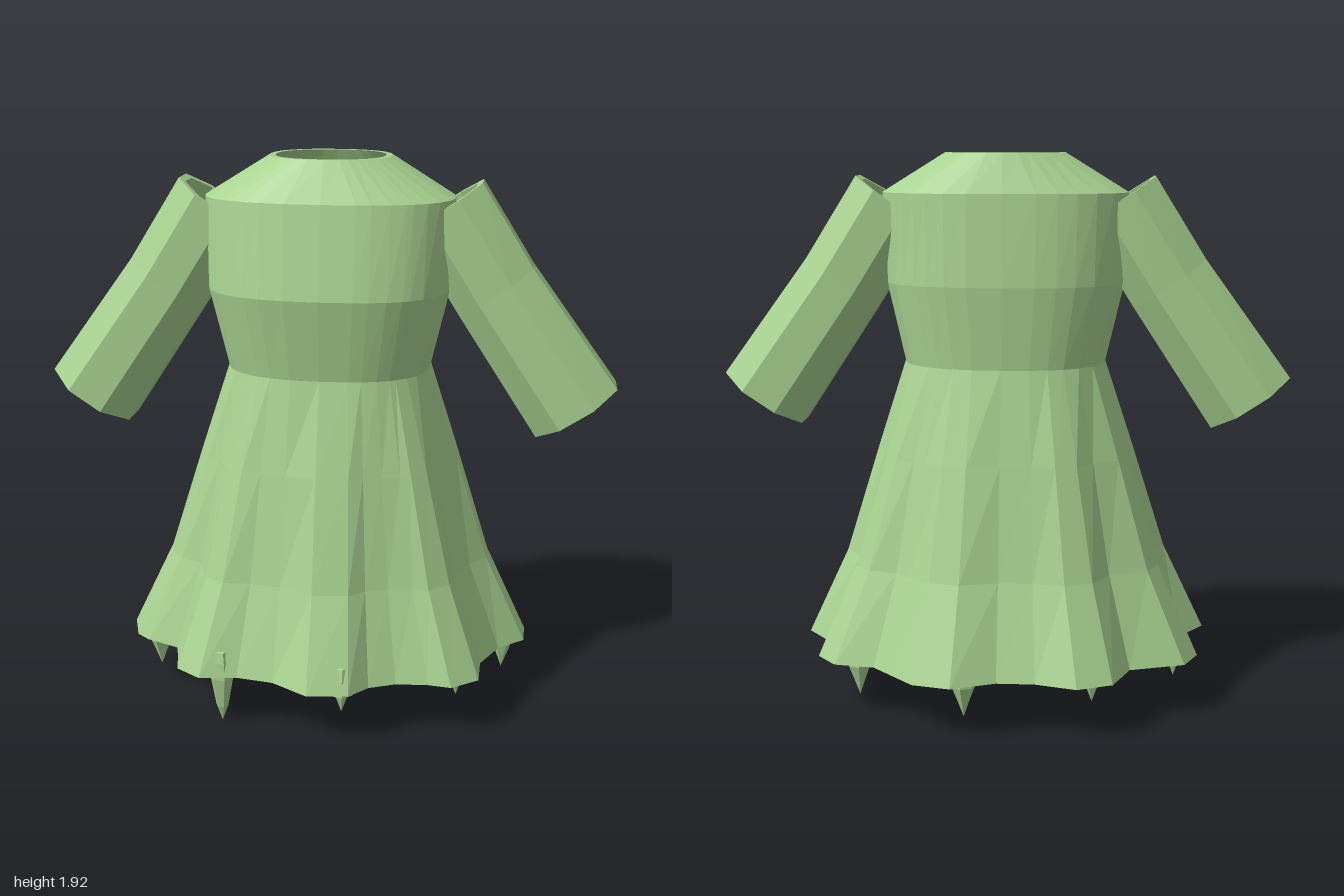
import * as THREE from 'three';

const green = new THREE.MeshStandardMaterial({ color: 0xa9d391 });
green.name = 'leaf green';

// Skin a loop of equal-sized rings into a closed, faceted shell
function loft(rings) {
  const pos = [];
  const n = rings[0].length;
  rings.forEach((ring, k) => {
    const next = rings[(k + 1) % rings.length];
    for (let i = 0; i < n; i++) {
      const j = (i + 1) % n;
      pos.push(...ring[i], ...next[i], ...ring[j], ...ring[j], ...next[i], ...next[j]);
    }
  });
  const geo = new THREE.BufferGeometry();
  geo.setAttribute('position', new THREE.Float32BufferAttribute(pos, 3));
  geo.computeVertexNormals();
  return geo;
}

function addMesh(parent, name, geo) {
  const mesh = new THREE.Mesh(geo, green);
  mesh.name = name;
  parent.add(mesh);
  return mesh;
}

// Wavy hem outline as x, z pairs, running from the front towards +x
const hem = [
  [0, .59], [.14, .57], [.2, .5], [.29, .46], [.4, .45], [.48, .46], [.57, .39], [.57, .26], [.63, .13],
  [.72, .05], [.72, -.06], [.63, -.17], [.64, -.32], [.57, -.4], [.43, -.42], [.37, -.48], [.28, -.57],
  [.15, -.6], [0, -.54], [-.13, -.54], [-.27, -.58], [-.39, -.53], [-.45, -.39], [-.64, -.33],
  [-.69, -.23], [-.66, -.14], [-.64, -.04], [-.73, .08], [-.69, .2], [-.64, .24], [-.52, .29],
  [-.5, .36], [-.48, .45], [-.39, .51], [-.26, .49], [-.13, .51],
];
const angles = hem.map(([x, z]) => Math.atan2(x / .7, z / .58));

// Rounded-oval ring of the bodice
function oval(y, rx, zFront, zBack, power = 2.5) {
  const rz = (zFront + zBack) / 2, cz = (zFront - zBack) / 2;
  const round = v => Math.sign(v) * Math.abs(v) ** (2 / power);
  return angles.map(a => [rx * round(Math.sin(a)), y, cz + rz * round(Math.cos(a))]);
}

// Skirt ring: blend from the waist to the hem
const waist = oval(1.2, .355, .28, .27);
const skirtRing = (y, t) => waist.map(([x, , z], i) =>
  [x + (hem[i][0] - x) * t, y, z + (hem[i][1] - z) * t]);

// Inner surface of a ring, moved towards the axis
const inset = (ring, d, drop = 0) => ring.map(([x, y, z]) => {
  const k = 1 - d / Math.hypot(x, z);
  return [x * k, y - drop, z * k];
});

// Shell from outer rings (top to bottom), returning up the inside
const shell = (outer, d, drop) => loft([...outer,
  ...outer.map((r, i) => inset(r, d, i === 1 ? drop : 0)).reverse()]);

function sleeve(side) {
  // Stations: centre x, centre y, half width across, half depth in z
  const stations = [[.395, 1.762, .15, .13], [.575, 1.477, .15, .135], [.865, 1.06, .163, .155]];
  const ring = ([cx, cy, w, d], wall) => {
    const pts = [];
    for (let i = 0; i < 8; i++) {
      const a = (i + .5) * Math.PI / 4;
      const u = Math.sin(a) * (w - wall) / Math.cos(Math.PI / 8);
      const v = Math.cos(a) * (d - wall) / Math.cos(Math.PI / 8);
      pts.push([side * (cx + u * .83), cy + u * .555, v]);
    }
    return side > 0 ? pts : pts.reverse();
  };
  return loft([...stations.map(s => ring(s, 0)), ...stations.map(s => ring(s, .025)).reverse()]);
}

// Six-sided claw hanging from the hem
function claw(tip) {
  const profile = [[0, tip], [.022, tip + .06], [.042, .17], [.04, .23], [.03, .27], [0, .28]];
  const geo = new THREE.LatheGeometry(profile.map(p => new THREE.Vector2(...p)), 6).toNonIndexed();
  geo.computeVertexNormals();
  return geo;
}

export function createModel() {
  const model = new THREE.Group();
  model.name = 'dress';

  addMesh(model, 'bodice', shell([
    oval(1.925, .21, .17, .18, 2.3),
    oval(1.79, .43, .255, .245),
    oval(1.48, .42, .32, .28),
    waist,
  ], .022, .02));

  addMesh(model, 'skirt', shell([
    waist, skirtRing(.88, .28), skirtRing(.5, .6), skirtRing(.185, 1),
  ], .022, 0));

  addMesh(model, 'leftSleeve', sleeve(1));
  addMesh(model, 'rightSleeve', sleeve(-1));

  // Claws around the hem: x, z, tip height
  const claws = [[.11, .52, .1], [.49, .34, .1], [.64, 0, .05], [.49, -.35, .06], [.11, -.525, .06],
    [-.32, -.465, .1], [-.61, -.18, .09], [-.61, .175, .06], [-.32, .455, 0]];
  const row = new THREE.Group();
  row.name = 'hemClaws';
  claws.forEach(([x, z, tip]) => {
    const mesh = addMesh(row, 'claw', claw(tip));
    mesh.position.set(x, 0, z);
    mesh.rotation.y = Math.atan2(x, z);
  });
  model.add(row);
  return model;
}
